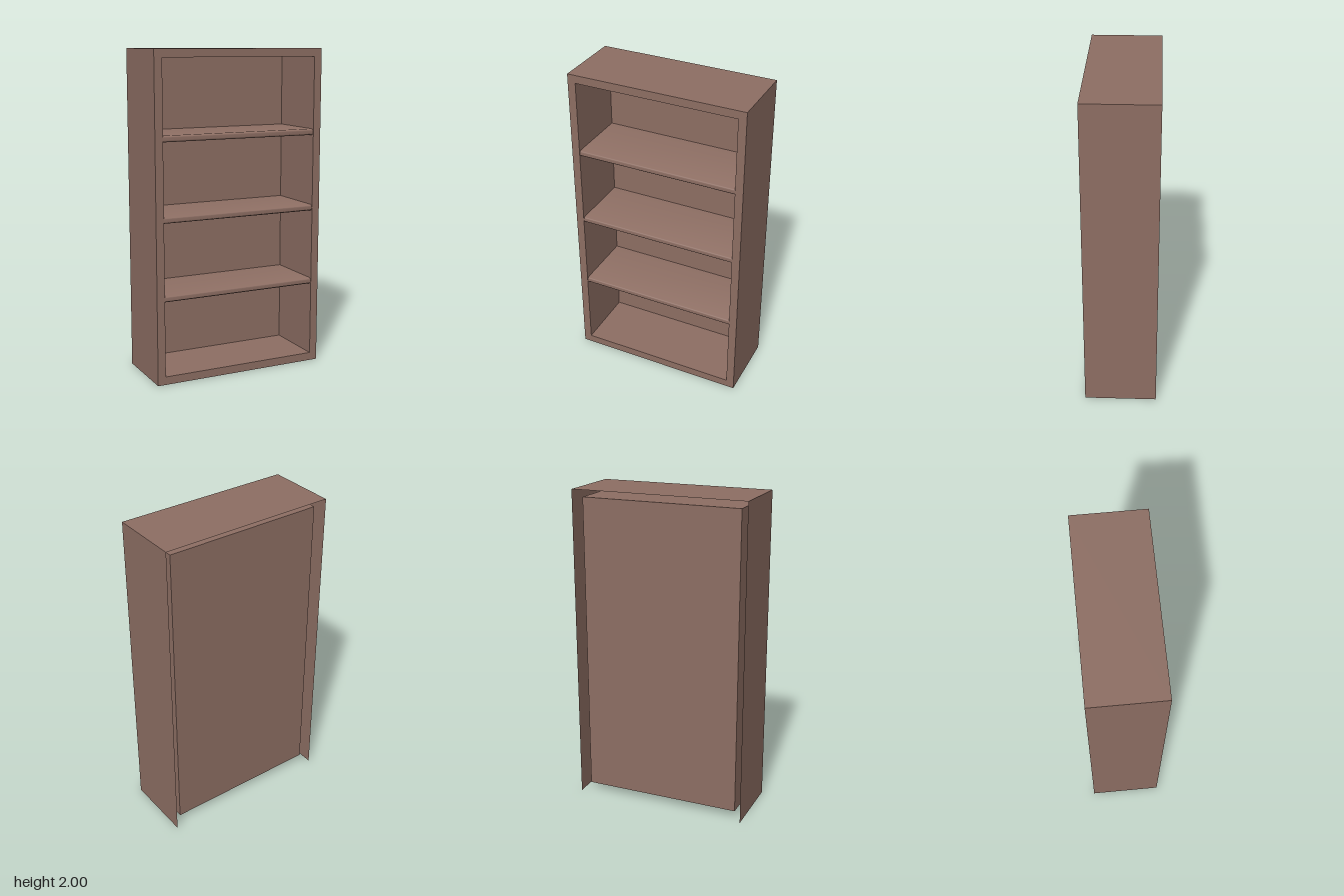
import * as THREE from 'three';
import { toCreasedNormals } from 'three/addons/utils/BufferGeometryUtils.js';

const W = 1.11, H = 2, D = 0.445;       // outer size
const BORDER = 0.05;                    // frame width
const FRONT = D / 2, PANEL_Z = -0.18;   // front plane and recessed back panel

export function createModel() {
  const model = new THREE.Group();
  model.name = 'bookcase';
  const wood = new THREE.MeshStandardMaterial({ color: 0x8d6e63, side: THREE.DoubleSide });
  wood.name = 'brown wood';

  const add = (name, geometry, x, y, z, rx = 0, ry = 0) => {
    const mesh = new THREE.Mesh(geometry, wood);
    mesh.name = name;
    mesh.position.set(x, y, z);
    mesh.rotation.set(rx, ry, 0);
    model.add(mesh);
  };

  const innerW = W - 2 * BORDER, innerH = H - 2 * BORDER;
  const innerD = FRONT - PANEL_Z, innerZ = (FRONT + PANEL_Z) / 2;
  const quarter = Math.PI / 2;

  // Outer shell: sheet sides and top, open at the back and underneath
  // Inner compartment: sides, ceiling and floor reaching to the back panel
  for (const [side, s] of [['left', 1], ['right', -1]]) {
    add(side + 'OuterSide', new THREE.PlaneGeometry(D, H), s * W / 2, H / 2, 0, 0, s * quarter);
    add(side + 'InnerSide', new THREE.PlaneGeometry(innerD, innerH),
      s * innerW / 2, H / 2, innerZ, 0, -s * quarter);
  }
  add('outerTop', new THREE.PlaneGeometry(W, D), 0, H, 0, -quarter);
  add('innerCeiling', new THREE.PlaneGeometry(innerW, innerD), 0, H - BORDER, innerZ, quarter);
  add('innerFloor', new THREE.PlaneGeometry(innerW, innerD), 0, BORDER, innerZ, -quarter);
  add('backPanel', new THREE.PlaneGeometry(innerW, innerH), 0, H / 2, PANEL_Z);

  // Front frame with a rectangular opening
  const rectangle = (w, h) => [[-w, -h], [w, -h], [w, h], [-w, h]]
    .map(([x, y]) => new THREE.Vector2(x / 2, y / 2));
  const frame = new THREE.Shape(rectangle(W, H));
  frame.holes.push(new THREE.Path(rectangle(innerW, innerH).reverse()));
  add('frontFrame', new THREE.ShapeGeometry(frame), 0, H / 2, FRONT);

  // Shelves with a softly rounded front edge, extruded across the width
  const r = 0.0195, shelfFront = FRONT - 0.003;
  const profile = new THREE.Shape();
  profile.moveTo(PANEL_Z, -r);
  profile.lineTo(shelfFront - r, -r);
  profile.absarc(shelfFront - r, 0, r, -quarter, quarter, false);
  profile.lineTo(PANEL_Z, r);
  profile.closePath();
  const shelf = toCreasedNormals(new THREE.ExtrudeGeometry(profile,
    { depth: innerW, bevelEnabled: false, curveSegments: 6 }), 1);
  shelf.translate(0, 0, -innerW / 2);
  [0.529, 1.006, 1.485].forEach((y, i) => add('shelf' + (i + 1), shelf, 0, y, 0, 0, -quarter));

  return model;
}
